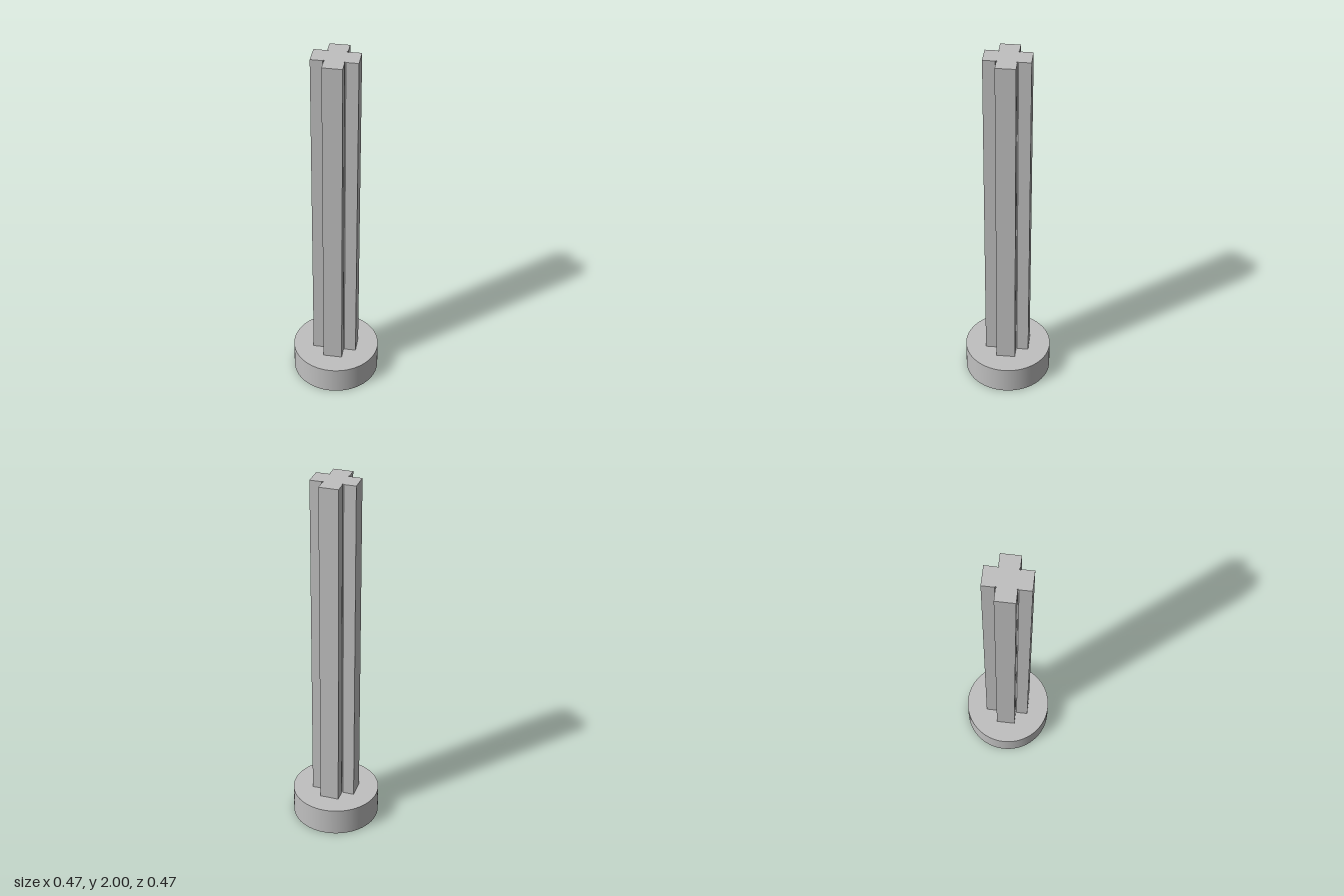
import * as THREE from 'three';

export function createModel() {
  const group = new THREE.Group();
  const grey = new THREE.MeshStandardMaterial({ color: 0xc0c0c0 });
  grey.name = 'grey';

  const baseRadius = 0.236, baseHeight = 0.153, totalHeight = 2;
  const armHalf = 0.051, armReach = 0.119, relief = 0.005;

  // Round foot
  const base = new THREE.Mesh(
    new THREE.CylinderGeometry(baseRadius, baseRadius, baseHeight, 72), grey);
  base.name = 'base';
  base.position.y = baseHeight / 2;
  group.add(base);

  // Cross section: one arm and its inner corner relief, turned four times
  const quarter = [
    [armReach, -armHalf],
    [armReach, armHalf],
    [armHalf + relief, armHalf],
    [armHalf, armHalf - relief],
    [armHalf - relief, armHalf],
    [armHalf, armHalf + relief],
  ];
  const points = [];
  for (let i = 0; i < 4; i++) {
    for (const [x, y] of quarter) {
      points.push(new THREE.Vector2(x, y).rotateAround(new THREE.Vector2(), i * Math.PI / 2));
    }
  }

  // Cross-shaped post standing on the foot
  const postGeometry = new THREE.ExtrudeGeometry(new THREE.Shape(points), {
    depth: totalHeight - baseHeight, bevelEnabled: false,
  });
  postGeometry.rotateX(-Math.PI / 2);
  const post = new THREE.Mesh(postGeometry, grey);
  post.name = 'crossPost';
  post.position.y = baseHeight;
  group.add(post);

  return group;
}
